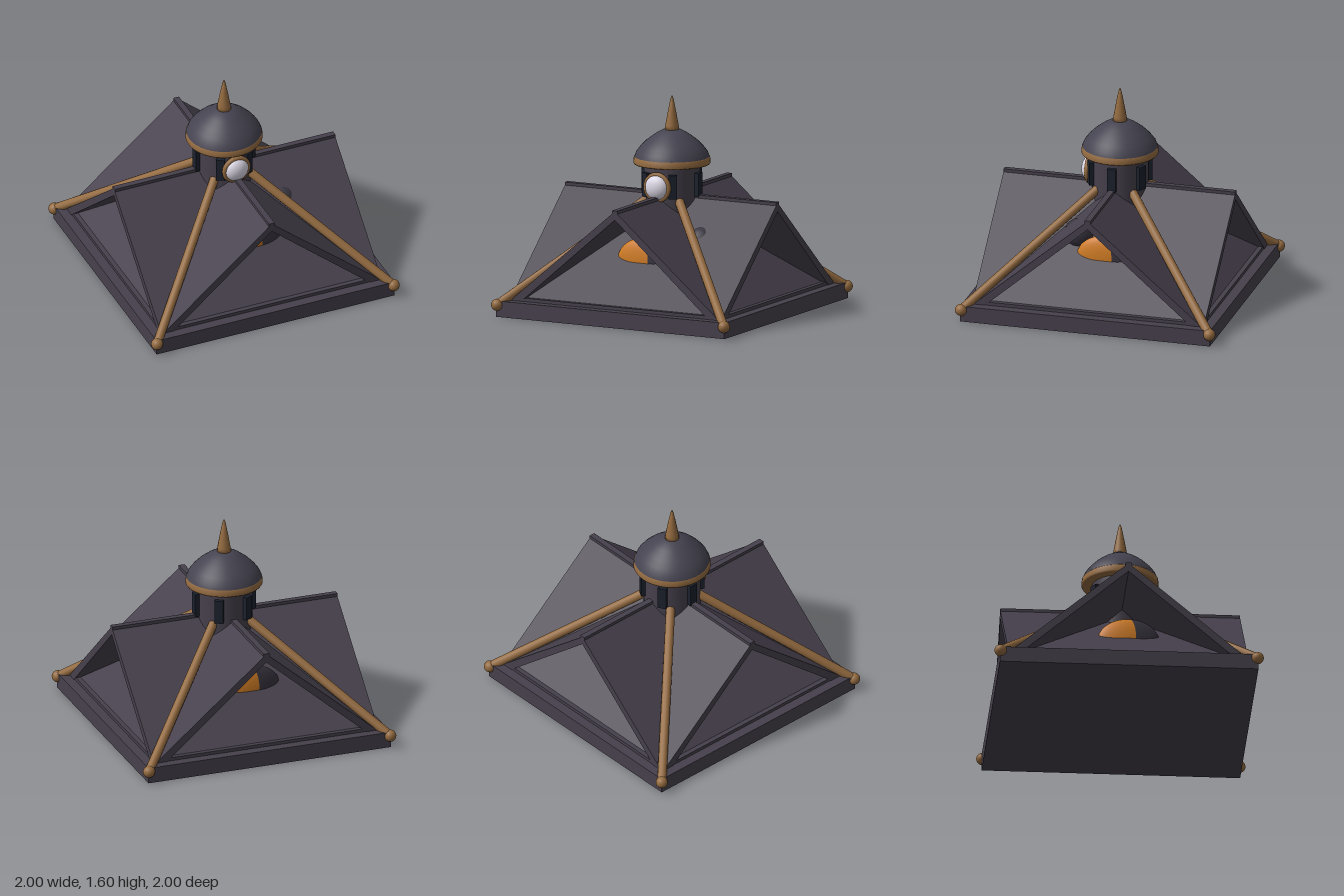
import * as THREE from 'three';

const mat = (name, color) => Object.assign(new THREE.MeshStandardMaterial({ color }), { name });

export function createModel() {
  const model = new THREE.Group();
  model.name = 'towerRoof';
  const slate = mat('slate', 0x46404c);
  const domeSlate = mat('domeSlate', 0x454350);
  const darkSlate = mat('darkSlate', 0x38353f);
  const bronze = mat('bronze', 0x946b40);
  const amber = mat('amber', 0xd07c24);
  const navy = mat('navy', 0x1b212d);
  const white = mat('white', 0xdcd8e6);

  const add = (name, geo, material, x = 0, y = 0, z = 0, parent = model) => {
    const m = new THREE.Mesh(geo, material);
    m.name = name;
    m.position.set(x, y, z);
    parent.add(m);
    return m;
  };
  const lathe = (pts, n) => new THREE.LatheGeometry(pts.map(p => new THREE.Vector2(...p)), n);

  // square eaves slab
  add('eavesSlab', new THREE.BoxGeometry(1.92, 0.12, 1.92), slate, 0, 0.06, 0);

  // two crossing gable roofs, open-ended so each slope shows inside the other's gable
  const chevron = new THREE.Shape([
    [-0.89, 0.11], [-0.8, 0.11], [0, 0.8], [0.8, 0.11], [0.89, 0.11], [0, 0.865],
  ].map(p => new THREE.Vector2(...p)));
  const roofGeo = new THREE.ExtrudeGeometry(chevron, { depth: 1.78, bevelEnabled: false });
  roofGeo.translate(0, 0, -0.89);
  for (const [name, turn] of [['gableRoofFrontBack', 0], ['gableRoofSides', Math.PI / 2]]) {
    add(name, roofGeo, slate).rotation.y = turn;
    add('ridgeCap', new THREE.BoxGeometry(0.045, 0.03, 1.78), slate, 0, 0.855, 0).rotation.y = turn;
  }

  // on each side: sill strip and half-round lamp window, part amber and part dark
  const split = 1.8;
  for (let i = 0; i < 4; i++) {
    const side = new THREE.Group();
    side.name = 'gableSide';
    side.rotation.y = i * Math.PI / 2;
    model.add(side);
    add('sill', new THREE.BoxGeometry(1.6, 0.03, 0.05), slate, 0, 0.13, 0.86, side);
    for (const [name, m, start, len] of [
      ['windowGlow', amber, 0, split], ['windowShade', darkSlate, split, Math.PI - split]]) {
      const g = new THREE.SphereGeometry(1, 20, 12, start, len, 0, Math.PI / 2);
      g.scale(0.23, 0.18, 0.06);
      m.side = THREE.DoubleSide;
      add(name, g, m, 0.03, 0.42, 0.47, side);
    }
  }

  // small dark knob poking through one slope
  add('roofKnob', new THREE.SphereGeometry(0.11, 16, 12), darkSlate, 0.37, 0.565, 0.21);

  // bronze valley beams with rounded ends
  for (const sx of [-1, 1]) for (const sz of [-1, 1]) {
    const path = new THREE.LineCurve3(
      new THREE.Vector3(0.955 * sx, 0.09, 0.955 * sz),
      new THREE.Vector3(0.13 * sx, 0.835, 0.13 * sz));
    add('valleyBeam', new THREE.TubeGeometry(path, 1, 0.034, 12), bronze);
    add('beamEnd', new THREE.SphereGeometry(0.045, 16, 12), bronze, 0.955 * sx, 0.09, 0.955 * sz);
  }

  // round drum with six tall windows
  add('drum', new THREE.CylinderGeometry(0.21, 0.21, 0.39, 32), slate, 0, 0.895, 0);
  for (let i = 0; i < 6; i++) {
    const a = Math.PI / 6 + i * Math.PI / 3;
    add('drumWindow', new THREE.BoxGeometry(0.065, 0.18, 0.05), navy,
      0.215 * Math.sin(a), 0.945, 0.215 * Math.cos(a)).rotation.y = a;
  }

  // round front dial with bulging white face and bronze rim
  const face = new THREE.SphereGeometry(0.095, 24, 16);
  face.scale(1, 1, 0.65);
  add('dialFace', face, white, 0, 0.94, 0.23);
  add('dialRim', new THREE.TorusGeometry(0.095, 0.019, 10, 32), bronze, 0, 0.94, 0.23);

  // cornice band, dome and spire
  add('corniceBand', lathe([[0, 1.085], [0.28, 1.085], [0.287, 1.095], [0.283, 1.135], [0.27, 1.145], [0, 1.145]], 40), bronze);
  add('dome', lathe([[0.279, 1.14], [0.265, 1.175], [0.235, 1.215], [0.19, 1.26], [0.13, 1.305], [0.07, 1.34], [0, 1.35]], 40), domeSlate);
  add('spire', lathe([[0, 1.335], [0.055, 1.335], [0.05, 1.37], [0.03, 1.48], [0.012, 1.57], [0, 1.6]], 12), bronze);

  return model;
}
